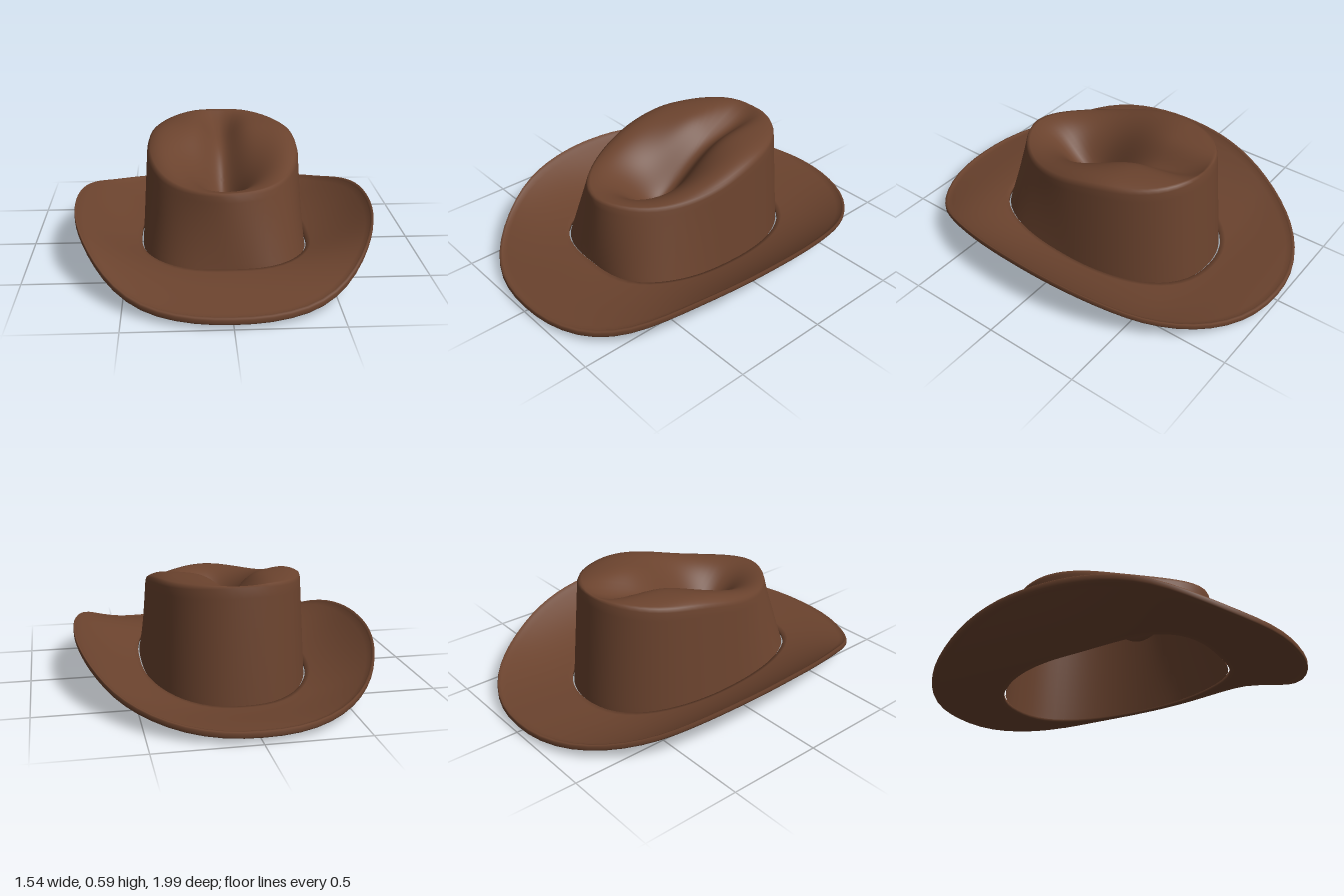
import * as THREE from 'three';
import { mergeVertices } from 'three/addons/utils/BufferGeometryUtils.js';

const SEGMENTS = 72;
const { smoothstep, lerp } = THREE.MathUtils;

// Radius of a rounded oval at an angle; front and back may differ in squareness
function oval(angle, a, front, back, nFront, nBack) {
  const c = Math.abs(Math.cos(angle)), s = Math.sin(angle);
  const n = s > 0 ? nFront : nBack, b = s > 0 ? front : back;
  return Math.pow(Math.pow(c / a, n) + Math.pow(Math.abs(s) / b, n), -1 / n);
}
const brimOuter = (t) => oval(t, 0.77, 0.995, 0.995, 2.25, 2.1);
const crownBase = (t) => oval(t, 0.42, 0.583, 0.588, 3, 2.2);
// The top outline tapers towards the front
const crownTop = (t) => oval(t, 0.392, 0.545, 0.54, 1.8, 2.2);
const at = (angle, r) => [r * Math.cos(angle), r * Math.sin(angle)];

// Underside of the brim: sides curl up, front dips forward
function brimHeight(x, z) {
  const centre = 0.003 + 0.08 * Math.exp(-(((z - 0.6) / 0.35) ** 2))
    + 0.033 * (1 - smoothstep(z, -1, -0.55));
  const curl = z > 0 ? Math.max(0, 1 - 1.2 * z * z) : 1;
  return centre + 0.23 * Math.pow(Math.abs(x) / 0.77, 3) * curl;
}

// Height of the crown top: sloping ridge, rounded shoulders, crease and hollow
function topHeight(x, z, s) {
  const ridge = 0.465 + 0.135 * (1 - smoothstep(z, -0.25, 0.5));
  const shoulder = 0.04 * Math.pow(s, 7) * Math.min(1, (x / 0.39) ** 2);
  const crease = 0.1 * Math.exp(-((x / 0.09) ** 2)) * (1 - smoothstep(z, 0.1, 0.5));
  const hollow = 0.17 * Math.exp(-((x / 0.2) ** 2) - ((z - 0.15) / 0.25) ** 2);
  return ridge - shoulder - (crease + hollow) * (1 - Math.pow(s, 4));
}

// Skin a list of rings, each a function from angle to [x, y, z]
function loft(rings, closed) {
  const positions = [], index = [];
  for (const ring of rings) {
    for (let j = 0; j < SEGMENTS; j++) positions.push(...ring((j / SEGMENTS) * Math.PI * 2));
  }
  const count = closed ? rings.length : rings.length - 1;
  for (let i = 0; i < count; i++) {
    const low = i * SEGMENTS, high = ((i + 1) % rings.length) * SEGMENTS;
    for (let j = 0; j < SEGMENTS; j++) {
      const k = (j + 1) % SEGMENTS;
      index.push(low + j, high + j, high + k, low + j, high + k, low + k);
    }
  }
  let geometry = new THREE.BufferGeometry();
  geometry.setAttribute('position', new THREE.Float32BufferAttribute(positions, 3));
  geometry.setIndex(index);
  geometry = mergeVertices(geometry, 1e-5);
  geometry.computeVertexNormals();
  return geometry;
}

function brimGeometry() {
  const ring = (t, lift) => (angle) => {
    const [x, z] = at(angle, lerp(crownBase(angle) + 0.008, brimOuter(angle), t));
    return [x, brimHeight(x, z) + lift, z];
  };
  const rings = [];
  const steps = 14;
  // Underside, outwards
  for (let i = 0; i <= steps; i++) rings.push(ring((i / steps) * 0.95, 0));
  // Thicker bound edge
  for (const [t, lift] of [[0.955, -0.004], [0.99, -0.003], [1, 0.004], [1, 0.02],
    [0.99, 0.027], [0.955, 0.027], [0.95, 0.02]]) rings.push(ring(t, lift));
  // Upper side, inwards
  for (let i = steps - 1; i >= 0; i--) rings.push(ring((i / steps) * 0.95, 0.02));
  return loft(rings, true);
}

function crownGeometry() {
  const rings = [];
  // Side wall, leaning in towards the top
  const wall = (v) => (angle) => {
    const [bx, bz] = at(angle, crownBase(angle));
    const [tx, tz] = at(angle, crownTop(angle));
    const x = lerp(bx, tx, v), z = lerp(bz, tz, v);
    return [x, lerp(brimHeight(bx, bz) + 0.01, topHeight(tx, tz, 1) - 0.015, v), z];
  };
  for (let i = 0; i <= 12; i++) rings.push(wall(i / 12));
  // Creased top, from the shoulder to the middle
  const top = (s) => (angle) => {
    const [x, z] = at(angle, crownTop(angle) * s);
    return [x, topHeight(x, z, s), z];
  };
  rings.push(top(0.985));
  for (let i = 29; i >= 0; i--) rings.push(top((i / 30) * 0.99));
  return loft(rings, false);
}

export function createModel() {
  const felt = new THREE.MeshStandardMaterial({ color: 0x6b432e, side: THREE.DoubleSide });
  felt.name = 'brown felt';
  const hat = new THREE.Group();
  hat.name = 'hat';
  for (const [name, geometry] of [['brim', brimGeometry()], ['crown', crownGeometry()]]) {
    const mesh = new THREE.Mesh(geometry, felt);
    mesh.name = name;
    hat.add(mesh);
  }
  return hat;
}
